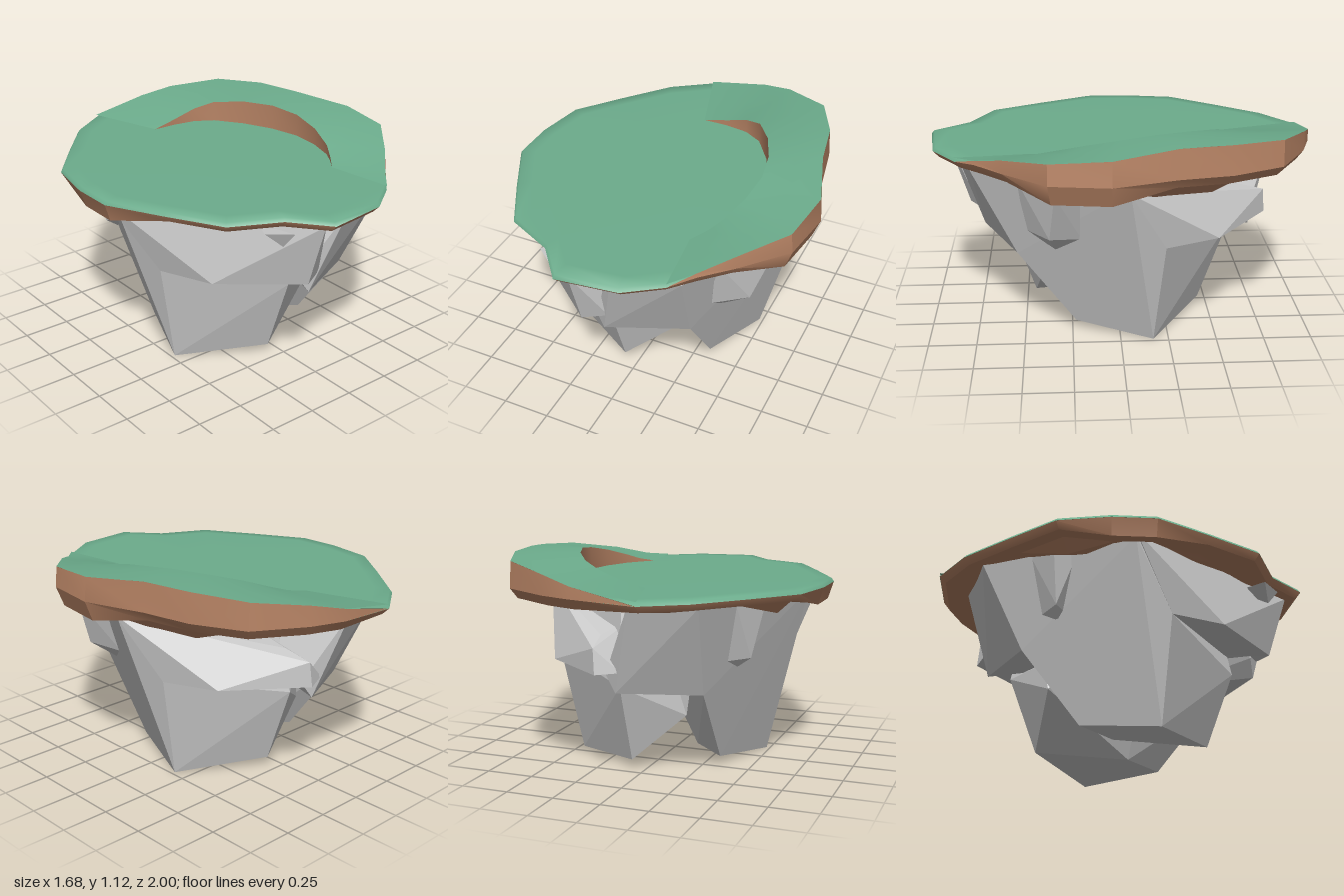
import * as THREE from 'three';
import { toCreasedNormals } from 'three/addons/utils/BufferGeometryUtils.js';
import { ConvexGeometry } from 'three/addons/geometries/ConvexGeometry.js';

const TOP = 0.975; // height of the flat meadow

// Island outline [x, z, rise of the rim], clockwise from the back
const OUTLINE = [
  [-0.19, -0.995, 0], [0.14, -1, 0.055], [0.31, -0.94, 0.095], [0.56, -0.79, 0.13],
  [0.68, -0.53, 0.145], [0.73, -0.26, 0.145], [0.83, 0.06, 0.12], [0.79, 0.36, 0.1],
  [0.6, 0.58, 0.06], [0.46, 0.72, 0.015], [0.36, 0.83, 0], [0.18, 0.955, 0],
  [-0.14, 0.995, 0], [-0.29, 0.81, 0], [-0.54, 0.69, 0], [-0.69, 0.42, 0],
  [-0.84, 0.13, 0], [-0.84, -0.1, 0], [-0.79, -0.37, 0], [-0.6, -0.61, 0], [-0.4, -0.85, 0],
];
const LOW = [6, 7, 16, 17]; // outline points where the rim hangs lower
const DIPS = [4, 5, 8, 18]; // points where clods hang from the underside

// Crescent step [x, z, rise], paired with the first outline points
const STEP = [
  [-0.06, -0.57, 0], [0.07, -0.57, 0.03], [0.2, -0.55, 0.075], [0.3, -0.49, 0.11],
  [0.4, -0.34, 0.13], [0.47, -0.17, 0.135], [0.5, 0, 0.12], [0.48, 0.17, 0.09],
  [0.43, 0.32, 0.05], [0.38, 0.4, 0.02], [0.32, 0.48, 0],
];

// Skin between successive rings of [x, y, z] points
function loft(rings, closed, crease) {
  const n = rings[0].length;
  const index = [];
  for (let r = 0; r + 1 < rings.length; r++) {
    for (let i = 0; i < (closed ? n : n - 1); i++) {
      const j = (i + 1) % n;
      const a = r * n + i, b = r * n + j, c = b + n, d = a + n;
      index.push(a, b, d, b, c, d);
    }
  }
  const geo = new THREE.BufferGeometry();
  geo.setAttribute('position', new THREE.Float32BufferAttribute(rings.flat(2), 3));
  geo.setIndex(index);
  return toCreasedNormals(geo, crease);
}

// Outline scaled about the centre, with a height rule
const ring = (scale, height) =>
  OUTLINE.map(([x, z, rise], i) => [x * scale, height(rise, i), z * scale]);

// Stones found in both halves of the base
const MAIN_ROCK = [
  [0.34, 0.05, 0.23], [0.48, 0, -0.17], [0.07, 0.05, -0.45], [0.15, 0.05, 0.05],
  [0.35, 0.45, 0.53], [0.59, 0.56, -0.22], [0.07, 0.47, -0.6], [-0.21, 0.3, -0.39],
  [-0.17, 0.46, -0.42], [0.4, 0.92, 0.75], [0.73, 0.92, -0.03], [0.1, 0.92, -0.5],
  [-0.1, 0.92, 0.2],
];
const OVERHANG = [
  [-0.04, 0.47, 0.72], [0.35, 0.45, 0.53], [0.1, 0.47, 0.3], [0.4, 0.92, 0.75],
  [0.08, 0.92, 0.85], [-0.1, 0.56, 0.7], [-0.1, 0.92, 0.3],
];

// Stones of each half, both written as seen on the +x side
const HALVES = {
  leftRocks: {
    mainRock: MAIN_ROCK,
    overhangRock: OVERHANG,
    shoulderRock: [
      [0.59, 0.56, -0.22], [0.48, 0.565, -0.5], [0.12, 0.57, -0.79], [0, 0.58, -0.74],
      [0.1, 0.57, -0.4], [0.73, 0.9, -0.03], [0.13, 0.7, -0.78], [0.15, 0.74, -0.64],
      [0.1, 0.8, -0.2],
    ],
    ledgeStone: [
      [0.44, 0.5, 0.33], [0.6, 0.62, 0.36], [0.44, 0.61, 0.47], [0.52, 0.59, 0.2],
      [0.69, 0.88, 0.33], [0.48, 0.92, 0.53], [0.62, 0.92, 0.18], [0.35, 0.8, 0.2],
    ],
  },
  rightRocks: {
    mainRock: MAIN_ROCK,
    overhangRock: OVERHANG,
    shoulderRock: [
      [0.59, 0.56, -0.22], [0.48, 0.565, -0.5], [0.12, 0.57, -0.8], [0, 0.58, -0.74],
      [0.1, 0.57, -0.4], [0.77, 0.92, -0.03], [0.12, 0.92, -0.91], [0.04, 0.92, -0.78],
      [0.1, 0.92, -0.2],
    ],
    ledgeStone: [
      [0.47, 0.57, 0.36], [0.54, 0.62, 0.36], [0.44, 0.61, 0.43], [0.45, 0.61, 0.3],
      [0.62, 0.92, 0.38], [0.5, 0.92, 0.5], [0.58, 0.92, 0.25], [0.35, 0.8, 0.2],
    ],
    chipStone: [
      [0.36, 0.89, -0.75], [0.25, 0.89, -0.84], [0.27, 0.81, -0.78], [0.28, 0.87, -0.6],
    ],
  },
};

export function createModel() {
  const model = new THREE.Group();
  const material = (color, flatShading = false) =>
    new THREE.MeshStandardMaterial({ color, flatShading, side: THREE.DoubleSide });
  const grass = material(0x6cac8c);
  const dirt = material(0xb88465);
  const stone = material(0xcccccc, true);

  const add = (parent, name, geo, mat) => {
    const mesh = new THREE.Mesh(geo, mat);
    mesh.name = name;
    parent.add(mesh);
  };

  // Flat meadow with a soft lip that fades out under the raised rim
  const lip = (rise) => TOP - (rise > 0 ? 0.004 : 0.02);
  add(model, 'meadow', loft([
    ring(0.001, () => TOP), ring(0.9, () => TOP), ring(0.985, () => TOP - 0.002), ring(1, lip),
  ], true, 1.5), grass);

  // Raised crescent of grass and the earth step along its inner edge
  const lift = ([x, z, rise]) => [x, TOP + 0.001 + rise, z];
  const stepTop = STEP.map(lift);
  const rimTop = OUTLINE.slice(0, STEP.length).map(lift);
  const middle = stepTop.map((p, i) =>
    p.map((v, k) => (v + rimTop[i][k]) / 2 + (k === 1 ? 0.03 * STEP[i][2] : 0)));
  add(model, 'raisedGrass', loft([stepTop, middle, rimTop], false, 1.5), grass);
  add(model, 'earthStep',
    loft([STEP.map(([x, z]) => [x, TOP - 0.01, z]), stepTop], false, 0.6), dirt);

  // Earth rim and its ragged underside
  add(model, 'earthRim', loft([
    ring(0.999, (rise) => (rise > 0 ? TOP + rise : lip(rise))),
    OUTLINE.map(([x, z, rise]) => (rise > 0
      ? [x * 1.013, 0.97, z] : [x * 0.998, 0.953, z * 0.998])),
    ring(0.965, (rise, i) => (LOW.includes(i) ? 0.865 : 0.92)),
    ring(0.9, (rise, i) => (LOW.includes(i) ? 0.87 : 0.91)),
    ring(0.83, (rise, i) => (DIPS.includes(i) ? 0.845 : 0.9 + 0.012 * Math.sin(i * 2.4))),
    ring(0.65, () => 0.92),
    ring(0.001, () => 0.92),
  ], true, 0.45), dirt);

  // Stone base: the right half is turned half round
  for (const [halfName, stones] of Object.entries(HALVES)) {
    const half = new THREE.Group();
    half.name = halfName;
    for (const [name, points] of Object.entries(stones)) {
      add(half, name, new ConvexGeometry(points.map((p) => new THREE.Vector3(...p))), stone);
    }
    if (halfName === 'rightRocks') half.rotation.y = Math.PI;
    model.add(half);
  }
  return model;
}
